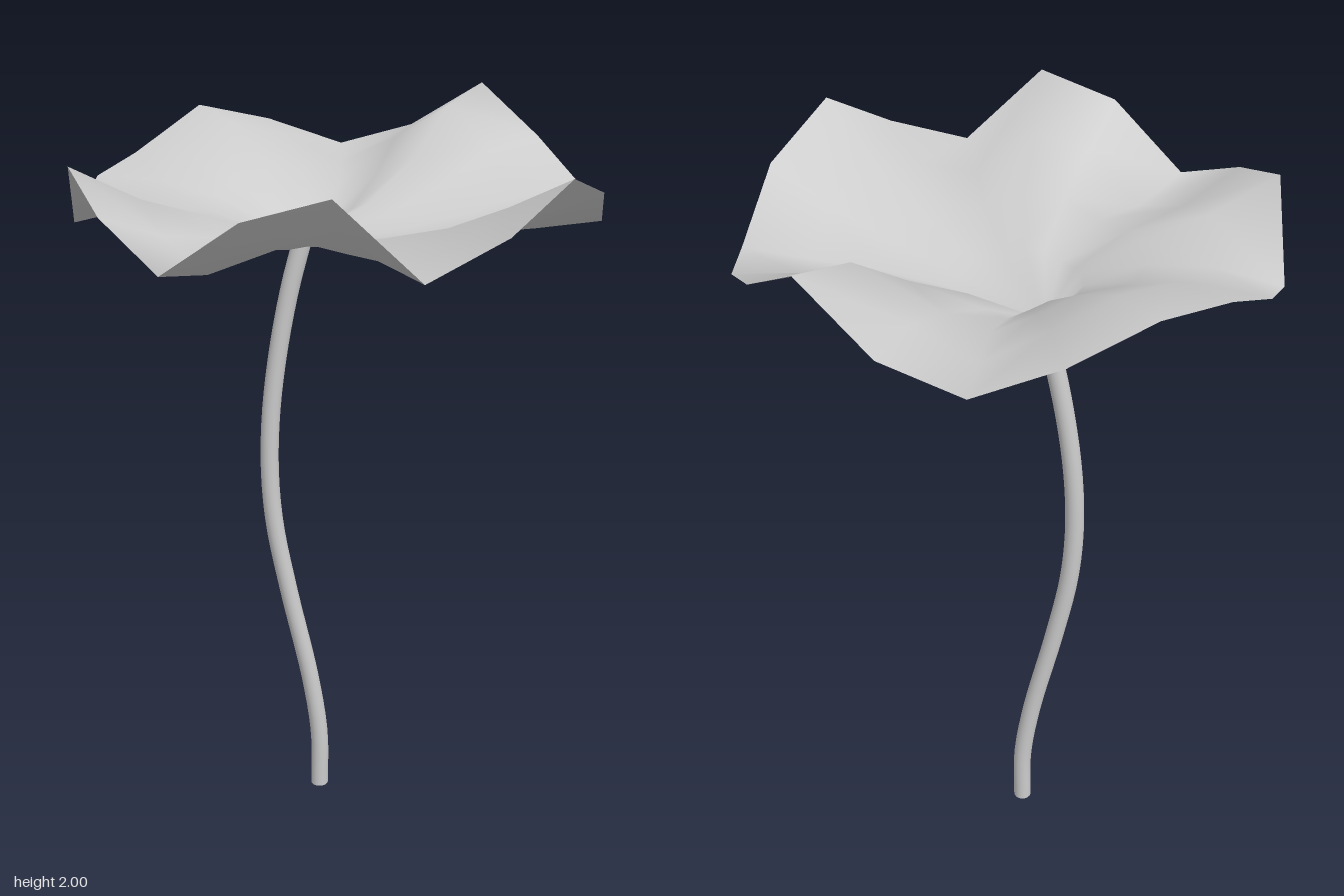
import * as THREE from 'three';

const CENTRE = new THREE.Vector3(-0.1, 1.668, -0.1);

// Leaf rim, clockwise from the back: x, z, then heights at the rim, three quarters out and half out
const RIM = [
  [0, -0.665, 1.805, 1.79, 1.765], [0.2, -0.635, 1.865, 1.86, 1.8], [0.39, -0.54, 2.0, 1.965, 1.85],
  [0.535, -0.395, 1.885, 1.87, 1.8], [0.63, -0.21, 1.8, 1.78, 1.74], [0.665, 0, 1.755, 1.735, 1.72],
  [0.635, 0.215, 1.88, 1.805, 1.745], [0.535, 0.435, 1.965, 1.87, 1.79], [0.39, 0.545, 1.86, 1.81, 1.765],
  [0.2, 0.635, 1.78, 1.76, 1.74], [0, 0.665, 1.975, 1.87, 1.78], [-0.2, 0.635, 1.915, 1.85, 1.78],
  [-0.39, 0.535, 1.765, 1.73, 1.75], [-0.54, 0.39, 1.86, 1.79, 1.76], [-0.635, 0.205, 1.935, 1.845, 1.79],
  [-0.665, 0, 1.745, 1.785, 1.78], [-0.63, -0.19, 1.82, 1.82, 1.79], [-0.54, -0.285, 1.86, 1.87, 1.81],
  [-0.39, -0.52, 1.94, 1.92, 1.84], [-0.205, -0.635, 1.88, 1.87, 1.81],
];

// Inner rings: radius fraction, sideways shift towards the centre, height at a rim entry
const RINGS = [
  [0.25, 0.02, (p) => (CENTRE.y + p[4]) / 2],
  [0.5, 0, (p) => p[4]],
  [0.75, 0, (p) => p[3]],
];

function leafGeometry() {
  const n = RIM.length;
  const pos = [CENTRE.x, CENTRE.y, CENTRE.z];
  const index = [];
  for (const [r, shift, height] of RINGS) {
    RIM.forEach((p, j) => {
      const a = (j / n) * Math.PI * 2;
      // inner rings are rounder than the rim
      const px = THREE.MathUtils.lerp(0.665 * Math.sin(a), p[0], r) * r - shift;
      const pz = THREE.MathUtils.lerp(-0.665 * Math.cos(a), p[1], r) * r - shift;
      pos.push(px, height(p), pz);
    });
  }
  for (const [x, z, y] of RIM) pos.push(x, y, z);

  const at = (ring, j) => 1 + ring * n + (j % n);
  for (let j = 0; j < n; j++) {
    index.push(0, at(0, j + 1), at(0, j));
    for (let k = 0; k < RINGS.length; k++) {
      index.push(at(k, j), at(k, j + 1), at(k + 1, j + 1));
      index.push(at(k, j), at(k + 1, j + 1), at(k + 1, j));
    }
  }
  const geo = new THREE.BufferGeometry();
  geo.setAttribute('position', new THREE.Float32BufferAttribute(pos, 3));
  geo.setIndex(index);
  geo.computeVertexNormals();
  return geo;
}

export function createModel() {
  const group = new THREE.Group();
  group.name = 'leafOnStem';
  const add = (name, geo) => {
    const mesh = new THREE.Mesh(
      geo,
      new THREE.MeshStandardMaterial({ color: 0xcccccc, side: THREE.DoubleSide }),
    );
    mesh.name = name;
    group.add(mesh);
  };

  // Wavy round leaf
  add('leaf', leafGeometry());

  // Bent hollow stem
  const path = [
    [-0.055, 0], [-0.055, 0.17], [-0.08, 0.36], [-0.14, 0.65], [-0.177, 0.86],
    [-0.188, 1.03], [-0.181, 1.2], [-0.158, 1.38], [-0.125, 1.55], [-0.095, 1.665],
  ].map(([x, y]) => new THREE.Vector3(x, y, -0.1));
  add('stem', new THREE.TubeGeometry(new THREE.CatmullRomCurve3(path), 36, 0.025, 16));

  return group;
}
